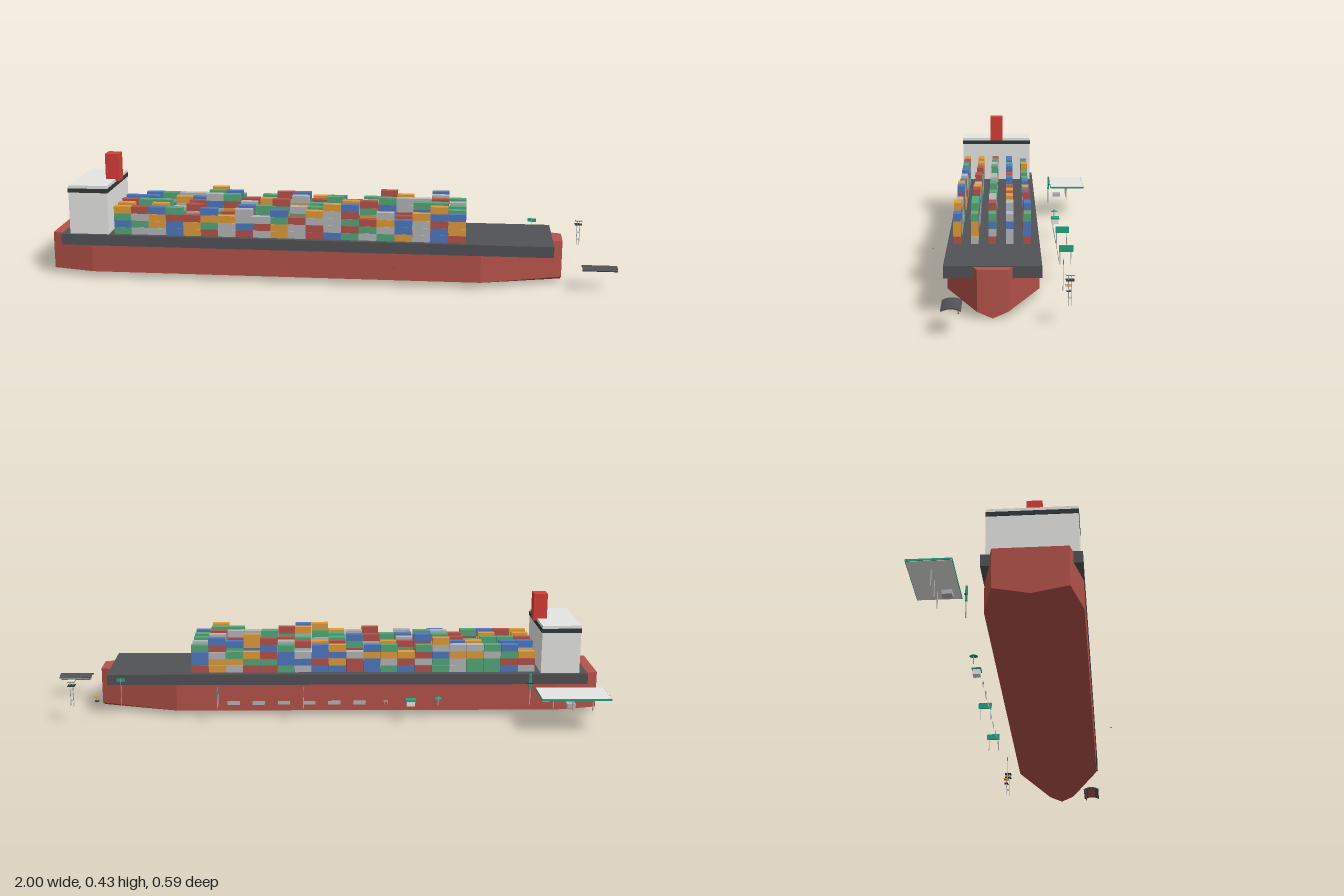
import * as THREE from 'three';
import { ConvexGeometry } from 'three/addons/geometries/ConvexGeometry.js';

const colours = {
  hullRed: 0xb5524a, deckDark: 0x515257, windowDark: 0x32383b, lightGrey: 0xe6e7e5, cargoGrey: 0xb5b6b8,
  cargoOrange: 0xe09c38, cargoBlue: 0x4f78c2, cargoGreen: 0x55a87a, funnelRed: 0xd93d37, teal: 0x20a67f,
};

export function createModel() {
  const model = new THREE.Group();
  model.name = 'containerShipAndQuay';
  const mats = {};
  for (const [name, color] of Object.entries(colours)) {
    mats[name] = new THREE.MeshStandardMaterial({ color });
    mats[name].name = name;
  }

  const add = (parent, name, geo, mat) => {
    const mesh = new THREE.Mesh(geo, mats[mat]);
    mesh.name = name;
    parent.add(mesh);
    return mesh;
  };
  const group = (name) => {
    const g = new THREE.Group();
    g.name = name;
    model.add(g);
    return g;
  };
  // box given by its lower and upper corners
  const box = (parent, name, mat, x0, x1, y0, y1, z0, z1) => {
    const m = add(parent, name, new THREE.BoxGeometry(x1 - x0, y1 - y0, z1 - z0), mat);
    m.position.set((x0 + x1) / 2, (y0 + y1) / 2, (z0 + z1) / 2);
    return m;
  };
  const post = (parent, name, mat, x, z, y0, y1, r = 0.0015) => {
    const m = add(parent, name, new THREE.CylinderGeometry(r, r, y1 - y0, 8), mat);
    m.position.set(x, (y0 + y1) / 2, z);
    return m;
  };

  // Ship hull: stations of [x, half width] with a shallow V bottom
  const ship = group('ship');
  const cz = 0.0775;
  const points = [];
  for (const [x, w] of [[-1, 0.115], [-0.85, 0.151], [0.53, 0.151], [0.815, 0.048]]) {
    points.push(new THREE.Vector3(x, 0, cz));
    for (const s of [-1, 1]) {
      for (const y of [0.021, 0.153]) points.push(new THREE.Vector3(x, y, cz + s * w));
    }
  }
  add(ship, 'hull', new ConvexGeometry(points), 'hullRed');
  box(ship, 'deck', 'deckDark', -0.96, 0.78, 0.118, 0.157, cz - 0.1525, cz + 0.1525);

  // Bridge and funnel
  box(ship, 'bridgeHouse', 'lightGrey', -0.93, -0.79, 0.157, 0.333, cz - 0.141, cz + 0.141);
  box(ship, 'bridgeWindows', 'windowDark', -0.932, -0.788, 0.307, 0.322, cz - 0.142, cz + 0.142);
  box(ship, 'funnel', 'funnelRed', -0.825, -0.775, 0.325, 0.425, cz - 0.025, cz + 0.025);

  // Containers: each row has its top colours, then the bow-end stack from the bottom up
  const rows = [
    [-0.034, 'OBGSSOGOGBSOBSGROGB', 'RBBG'],
    [0.024, 'BBBOBGBRORBRORSOOBS', 'SSBS'],
    [0.082, 'RGGSRSGSBSSGGGRGSSR', 'RSBG'],
    [0.14, 'OROGRGRBGRSGOORBRGG', 'SOOG'],
    [0.198, 'ORBGRBOSSBROOBRSBOO', 'ROOB'],
  ];
  const cargo = { O: 'cargoOrange', R: 'hullRed', B: 'cargoBlue', G: 'cargoGreen', S: 'cargoGrey' };
  const lowColumns = [0, 1, 2, 7, 8, 11, 19];
  let seed = 7;
  const random = () => {
    seed = (seed * 16807) % 2147483647;
    return seed / 2147483647;
  };
  const containers = group('containers');
  const tier = 0.0254;
  for (const [z, tops, endStack] of rows) {
    for (let i = 0; i < 20; i++) {
      const limit = lowColumns.includes(i) ? 4 : 5;
      const height = i > 17 ? limit : Math.min(limit, 3 + Math.floor(random() * 3));
      const x = -0.77 + i * 0.0624;
      for (let t = 0; t < height; t++) {
        let key = 'ORBGS'[Math.floor(random() * 5)];
        if (i === 19) key = endStack[t];
        else if (t === height - 1) key = tops[i];
        const y = 0.157 + t * tier;
        box(containers, 'container', cargo[key], x, x + 0.0608, y, y + 0.025, z - 0.0123, z + 0.0123);
      }
    }
  }

  // Quay canopy with a counter beneath it
  const canopy = group('canopy');
  box(canopy, 'canopyFascia', 'teal', -1, -0.757, 0.121, 0.1275, -0.293, -0.152);
  box(canopy, 'canopyTop', 'lightGrey', -0.9985, -0.7585, 0.127, 0.1285, -0.2915, -0.1535);
  box(canopy, 'canopyUnderside', 'lightGrey', -0.9985, -0.7585, 0.12, 0.1215, -0.2915, -0.1535);
  for (const x of [-0.95, -0.88, -0.81]) {
    post(canopy, 'canopyPost', 'cargoGrey', x, -0.222, 0.063, 0.121, 0.002);
  }
  box(canopy, 'counter', 'cargoGrey', -0.895, -0.865, 0.065, 0.08, -0.197, -0.165);

  // Quay sign, hanging panels, benches and a row of thin fence panels
  const quay = group('quayFurniture');
  post(quay, 'signPole', 'cargoGrey', -0.74, -0.142, 0.063, 0.13, 0.002);
  box(quay, 'signBoard', 'teal', -0.745, -0.735, 0.122, 0.174, -0.145, -0.138);
  box(quay, 'signCap', 'windowDark', -0.752, -0.728, 0.14, 0.143, -0.146, -0.141);
  for (const x of [0.07, 0.375]) {
    box(quay, 'panel', 'teal', x - 0.0015, x + 0.0015, 0.107, 0.13, -0.191, -0.143);
    post(quay, 'panelPost', 'cargoGrey', x, -0.183, 0.063, 0.107);
    post(quay, 'panelPost', 'cargoGrey', x, -0.146, 0.063, 0.107);
  }
  for (const x of [-0.225, -0.145]) {
    box(quay, 'bench', 'cargoGrey', x - 0.008, x + 0.008, 0.075, 0.078, -0.145, -0.14);
    for (const s of [-1, 1]) post(quay, 'benchLeg', 'cargoGrey', x + s * 0.006, -0.143, 0.063, 0.075, 0.001);
  }
  for (let i = 0; i < 6; i++) {
    const x = 0.32 - i * 0.09;
    box(quay, 'fencePanel', 'cargoGrey', x - 0.022, x + 0.022, 0.064, 0.078, -0.1435, -0.1425);
  }

  // Small kiosk and round parasol
  box(quay, 'kioskBody', 'lightGrey', -0.328, -0.298, 0.063, 0.082, -0.168, -0.142);
  box(quay, 'kioskRoof', 'teal', -0.331, -0.295, 0.082, 0.087, -0.171, -0.139);
  post(quay, 'parasolPole', 'cargoGrey', -0.41, -0.155, 0.063, 0.09);
  const parasol = add(quay, 'parasolTop', new THREE.ConeGeometry(0.014, 0.008, 16), 'teal');
  parasol.position.set(-0.41, 0.094, -0.155);

  // Flag pole near the bow
  post(quay, 'flagPole', 'cargoGrey', 0.72, -0.142, 0.063, 0.165, 0.0012);
  box(quay, 'flag', 'teal', 0.705, 0.735, 0.15, 0.163, -0.143, -0.141);

  // Lattice tower and low stand beyond the bow
  const tower = group('tower');
  for (const sx of [-1, 1]) {
    for (const sz of [-1, 1]) post(tower, 'towerLeg', 'cargoGrey', 0.893 + sx * 0.005, -0.155 + sz * 0.005, 0.063, 0.155, 0.0007);
  }
  for (const y of [0.085, 0.11]) box(tower, 'towerBrace', 'cargoGrey', 0.887, 0.899, y, y + 0.0015, -0.161, -0.149);
  for (const y of [0.14, 0.156]) box(tower, 'towerPlatform', 'windowDark', 0.88, 0.906, y, y + 0.002, -0.168, -0.142);
  box(tower, 'towerTop', 'lightGrey', 0.88, 0.906, 0.158, 0.159, -0.168, -0.142);
  post(tower, 'standPost', 'cargoGrey', 0.805, -0.155, 0.063, 0.1);
  box(tower, 'standTop', 'cargoOrange', 0.795, 0.815, 0.1, 0.103, -0.165, -0.145);
  box(tower, 'standShelf', 'windowDark', 0.798, 0.812, 0.082, 0.084, -0.162, -0.148);

  // Shelter with an arched roof and red lining in front of the bow
  const shelter = group('shelter');
  const arch = (z) => 0.083 - 9 * (z - 0.198) ** 2;
  const steps = 8;
  for (let i = 0; i < steps; i++) {
    const za = 0.168 + (0.06 * i) / steps;
    const zb = za + 0.06 / steps;
    const slat = box(shelter, 'roofSlat', 'deckDark', 0.88, 1, -0.002, 0.002, -0.004, 0.004);
    slat.position.set(0.94, (arch(za) + arch(zb)) / 2, (za + zb) / 2);
    slat.rotation.x = -Math.atan2(arch(zb) - arch(za), zb - za);
    if (i > 1 && i < 6) box(slat, 'roofLining', 'hullRed', -0.05, 0.05, -0.003, -0.002, -0.004, 0.004);
  }
  for (let i = 0; i < 5; i++) post(shelter, 'shelterPost', 'cargoGrey', 0.888 + i * 0.026, 0.176, 0.063, 0.079, 0.001);
  box(shelter, 'shelterRail', 'hullRed', 0.885, 0.995, 0.066, 0.069, 0.174, 0.178);

  // Small hovering bird
  box(model, 'bird', 'windowDark', 0.229, 0.233, 0.085, 0.0865, 0.291, 0.294);
  return model;
}
